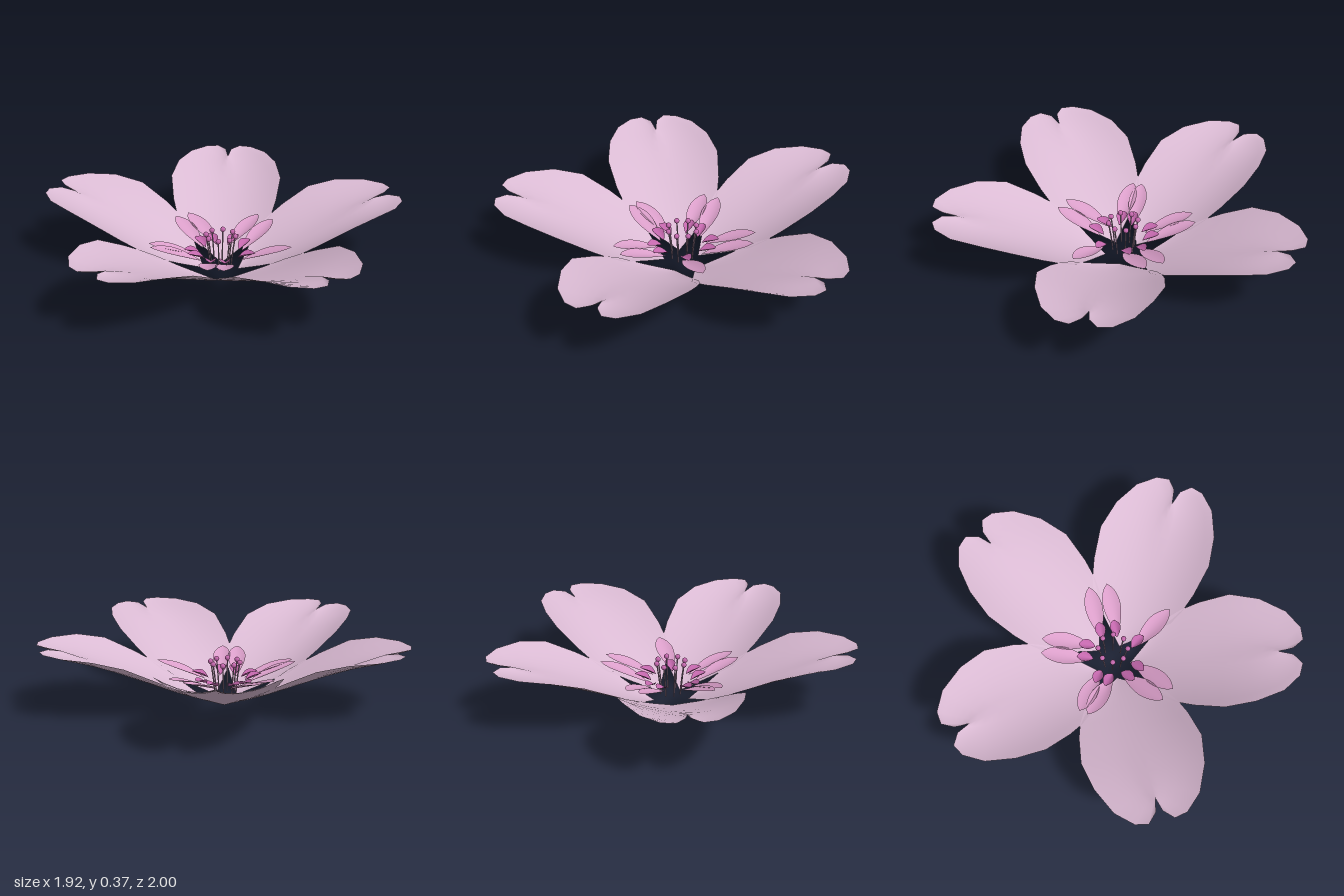
import * as THREE from 'three';

const mat = (name, color) => {
  const m = new THREE.MeshStandardMaterial({ color, side: THREE.DoubleSide });
  m.name = name;
  return m;
};
const rad = THREE.MathUtils.degToRad;

// Sheet between a mirrored edge and a centre line; each row is [edgeX, halfWidth, edgeY, midX, midY]
function sheet(rows, cols = 12) {
  const pos = [], index = [];
  rows.forEach(([ex, w, ey, mx, my], i) => {
    for (let j = 0; j <= cols; j++) {
      const s = (j / cols) * 2 - 1, t = Math.abs(s);
      pos.push(mx + (ex - mx) * t, my + (ey - my) * t * t, w * s);
      if (i && j) {
        const d = i * (cols + 1) + j, c = d - 1, b = d - cols - 1, a = b - 1;
        index.push(a, b, c, b, d, c);
      }
    }
  });
  const g = new THREE.BufferGeometry();
  g.setAttribute('position', new THREE.Float32BufferAttribute(pos, 3));
  g.setIndex(index);
  g.computeVertexNormals();
  return g;
}

// Small pointed-oval leaf running from the origin along +x
function leaf(length, width, cup) {
  const rows = [];
  for (let i = 0; i <= 12; i++) {
    const t = i / 12, x = length * t;
    const w = (width / 2) * Math.pow(Math.sin(Math.PI * Math.pow(t, 1.3)), 0.7) || 0;
    rows.push([x, w, cup * Math.sin(Math.PI * t), x, 0]);
  }
  return sheet(rows, 6);
}

export function createModel() {
  const root = new THREE.Group();
  const flower = new THREE.Group();
  flower.name = 'flower';
  flower.position.x = 0.06;
  root.add(flower);

  const petalMat = mat('pale petal pink', 0xdabad3);
  const innerMat = mat('inner petal pink', 0xdb9fca);
  const baseMat = mat('deep pink', 0xc468ad);
  const filamentMat = mat('filament mauve', 0xa98aa2);

  const add = (name, geo, material, parent = flower) => {
    const m = new THREE.Mesh(geo, material);
    m.name = name;
    parent.add(m);
    return m;
  };

  // Five notched, cupped petals
  const edge = [
    [0.1, 0, 0, 0.1], [0.2, 0.126, 0.068, 0.2], [0.29, 0.235, 0.135, 0.29],
    [0.37, 0.275, 0.185, 0.37], [0.46, 0.302, 0.237, 0.46], [0.62, 0.327, 0.32, 0.6],
    [0.78, 0.295, 0.36, 0.72], [0.925, 0.227, 0.37, 0.8], [1.007, 0.138, 0.372, 0.85],
    [1.021, 0.068, 0.372, 0.88], [0.97, 0.018, 0.368, 0.89], [0.895, 0, 0.35, 0.895],
  ];
  const petalGeo = sheet(edge.map(([x, w, y, mx]) => [x, w, y, mx, 0.44 * (mx - 0.1)]));
  for (let i = 0; i < 5; i++) {
    add('petal', petalGeo, petalMat).rotation.y = -rad(36 + 72 * i);
  }

  // Inner petals: [base angle, tip angle], leaning into the gaps between the large petals
  const innerAngles = [[10, -5], [55, 67], [98, 79], [122, 142], [157, 149],
    [200, 209], [240, 221], [270, 282], [315, 297]];
  const innerGeo = leaf(1, 0.34, 0.05);
  const baseGeo = leaf(0.1, 0.06, 0.02);
  for (const [base, tip] of innerAngles) {
    const point = (r, a, y) => new THREE.Vector3(r * Math.cos(rad(a)), y, r * Math.sin(rad(a)));
    const from = point(0.13, base, 0.1), to = point(0.4, tip, 0.2);
    const dir = to.clone().sub(from);
    const place = (mesh, at) => {
      mesh.position.copy(at);
      mesh.rotation.set(0, -Math.atan2(dir.z, dir.x), Math.asin(dir.y / dir.length()), 'YXZ');
    };
    const inner = add('innerPetal', innerGeo, innerMat);
    place(inner, from);
    inner.scale.setScalar(dir.length());

    // Deep pink curl at the foot of each inner petal
    place(add('innerPetalFoot', baseGeo, baseMat), point(0.11, base, 0.11));
  }

  // Ring of eight stamens
  const ballGeo = new THREE.SphereGeometry(0.015, 12, 8);
  for (let i = 0; i < 8; i++) {
    const stamen = new THREE.Group();
    stamen.name = 'stamen';
    stamen.rotation.y = -rad(-12 + 45 * i);
    flower.add(stamen);
    const curve = new THREE.QuadraticBezierCurve3(
      new THREE.Vector3(0.06, 0.03, 0), new THREE.Vector3(0.065, 0.12, 0), new THREE.Vector3(0.082, 0.215, 0));
    add('filament', new THREE.TubeGeometry(curve, 6, 0.004, 5), filamentMat, stamen);
    add('anther', ballGeo, baseMat, stamen).position.set(0.082, 0.218, 0);
  }
  return root;
}
